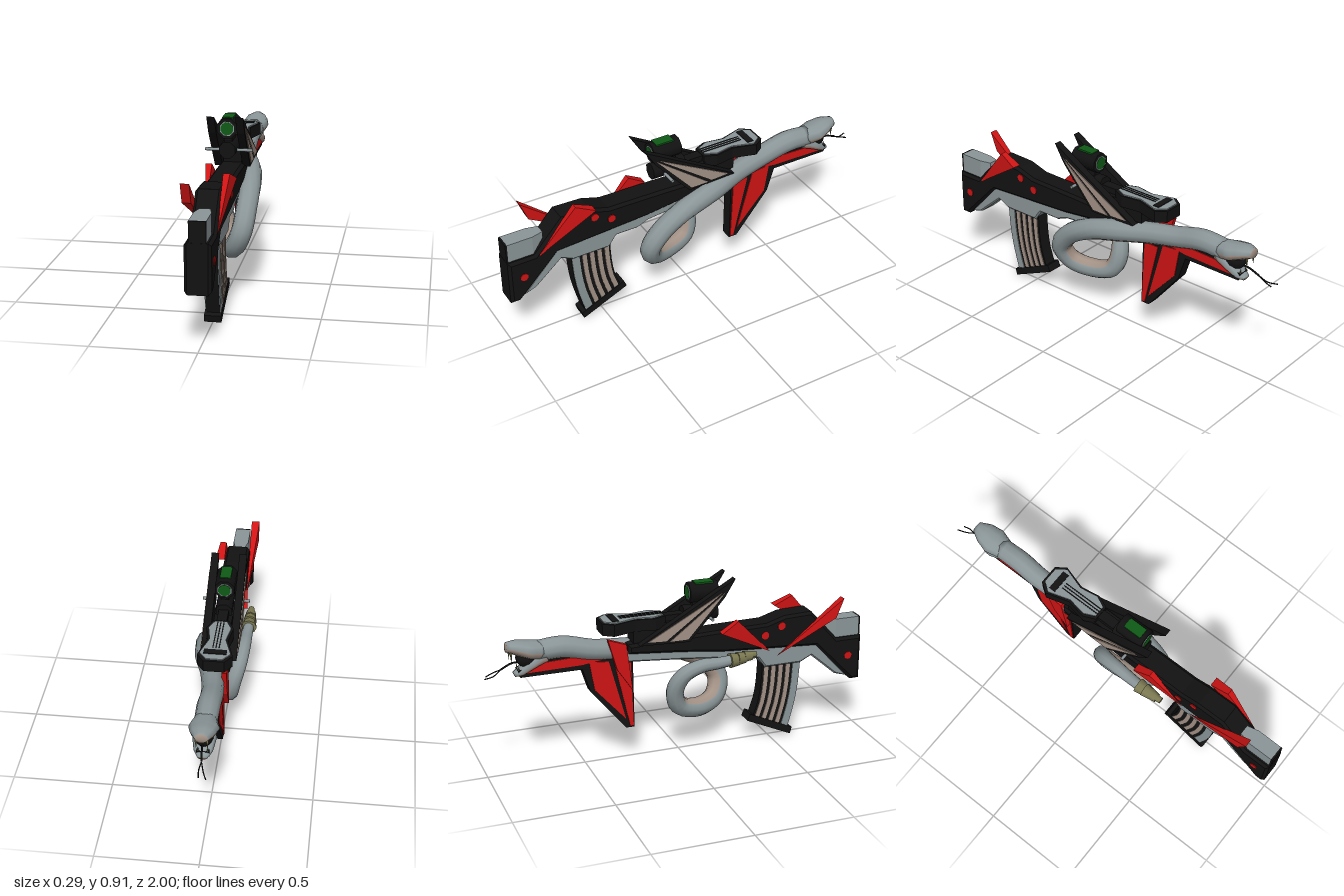
import * as THREE from 'three';
import { ConvexGeometry } from 'three/addons/geometries/ConvexGeometry.js';

const flat = (name, color) => {
  const m = new THREE.MeshStandardMaterial({ color });
  m.name = name;
  return m;
};
const V = (x, y, z) => new THREE.Vector3(x, y, z);

export function createModel() {
  const model = new THREE.Group();
  const black = flat('black', 0x121212), gray = flat('gray', 0x8b9698), red = flat('red', 0xd01414);
  const beige = flat('beige', 0xa39286), green = flat('green', 0x0f5a16), olive = flat('olive', 0x7c7a52);

  const add = (name, geo, mat) => {
    const m = new THREE.Mesh(geo, mat);
    m.name = name;
    model.add(m);
    return m;
  };
  const box = (name, w, h, d, x, y, z, mat) =>
    add(name, new THREE.BoxGeometry(w, h, d).translate(x, y, z), mat);
  const extrude = (pts, depth, bevel) =>
    new THREE.ExtrudeGeometry(new THREE.Shape(pts.map(p => new THREE.Vector2(p[0], p[1]))), {
      depth: depth - 2 * bevel, bevelEnabled: bevel > 0, bevelThickness: bevel,
      bevelSize: bevel, bevelOffset: -bevel, bevelSegments: 1,
    }).translate(0, 0, bevel);
  // side profile in (z, y), extruded from x0 to x1
  const profile = (name, pts, x0, x1, mat, bevel = 0) =>
    add(name, extrude(pts, x1 - x0, bevel).rotateY(-Math.PI / 2).translate(x1, 0, 0), mat);
  // thin plate on both flanks at half width x
  const plates = (name, pts, x, mat) => {
    profile(name, pts, x - 0.003, x + 0.004, mat);
    profile(name, pts, -x - 0.004, -x + 0.003, mat);
  };
  // plan outline in (x, -z), extruded upward from y0 to y1
  const plan = (name, pts, y0, y1, mat) =>
    add(name, extrude([...pts, ...pts.slice().reverse().map(p => [-p[0], p[1]])], y1 - y0, 0)
      .rotateX(-Math.PI / 2).translate(0, y0, 0), mat);
  const tube = (name, r, len, axis, x, y, z, mat, sides = 8) => {
    const g = new THREE.CylinderGeometry(r, r, len, sides).rotateY(Math.PI / sides);
    if (axis === 'x') g.rotateZ(Math.PI / 2);
    if (axis === 'z') g.rotateX(Math.PI / 2);
    return add(name, g.translate(x, y, z), mat);
  };

  // stock and receiver
  profile('receiver', [[1, 0.51], [1, 0.27], [0.95, 0.27], [0.74, 0.485], [0.25, 0.515], [0, 0.545],
    [-0.28, 0.57], [-0.28, 0.62], [0.17, 0.635], [0.46, 0.64], [0.56, 0.67], [0.71, 0.675], [0.86, 0.51]],
    -0.062, 0.062, black, 0.014);
  profile('lowerReceiver', [[0.93, 0.29], [0.86, 0.31], [0.72, 0.43], [0.66, 0.4], [0.46, 0.4], [0.42, 0.455],
    [0.3, 0.455], [0.24, 0.48], [0, 0.505], [-0.3, 0.53], [-0.3, 0.59], [0, 0.565], [0.25, 0.54], [0.74, 0.5]],
    -0.05, 0.05, gray, 0.008);
  plan('stockComb', [[0.04, -0.99], [0.04, -0.86], [0.025, -0.8]], 0.49, 0.61, gray);
  box('buttCap', 0.08, 0.12, 0.01, 0, 0.55, 0.994, black);
  for (const [z, y] of [[0.54, 0.62], [0.45, 0.58], [0.925, 0.41]])
    tube('redStud', 0.021, 0.132, 'x', 0, y, z, red);

  // red fins: a point at the tip and a broad outer end
  const fin = (name, tip, a, b, inner) => {
    const pts = [V(...tip), V(...a), V(...b), V(inner, a[1], a[2]), V(inner, b[1], b[2])];
    add(name, new ConvexGeometry(pts), red);
  };
  fin('leftStockFin', [0.06, 0.495, 0.85], [0.088, 0.735, 0.65], [0.104, 0.69, 0.55], 0.056);
  fin('rightStockFin', [-0.06, 0.46, 0.52], [-0.1, 0.74, 0.87], [-0.1, 0.64, 0.83], -0.058);
  fin('rightMiddleFin', [-0.06, 0.49, 0.48], [-0.09, 0.685, 0.29], [-0.1, 0.63, 0.2], -0.058);

  // curved magazine, striped along its length
  const rear = new THREE.SplineCurve([[0.665, 0.42], [0.655, 0.28], [0.635, 0.16], [0.6, 0.03]].map(p => new THREE.Vector2(...p)));
  const fore = new THREE.SplineCurve([[0.45, 0.42], [0.445, 0.31], [0.43, 0.21], [0.395, 0.11]].map(p => new THREE.Vector2(...p)));
  const strip = (f0, f1) => {
    const edge = f => [0, 1, 2, 3, 4, 5, 6].map(i => rear.getPoint(i / 6).lerp(fore.getPoint(i / 6), f).toArray());
    return [...edge(f0), ...edge(f1).reverse()];
  };
  profile('magazine', strip(0, 1), -0.033, 0.033, black);
  plates('magazineSpine', strip(0.01, 0.2), 0.033, gray);
  for (const f of [0.27, 0.46, 0.65, 0.84]) plates('magazineStripe', strip(f, f + 0.11), 0.033, beige);
  profile('magazineBase', [[0.615, 0], [0.625, 0.035], [0.385, 0.145], [0.37, 0.11]], -0.041, 0.041, black);

  // striped foregrip and under bar
  profile('foregrip', [[-0.25, 0.58], [-0.245, 0.17], [-0.29, 0.17], [-0.47, 0.39], [-0.51, 0.515],
    [-0.82, 0.515], [-0.83, 0.55], [-0.7, 0.59], [-0.4, 0.6]], -0.03, 0.03, black);
  plates('gripStripe', [[-0.262, 0.52], [-0.25, 0.18], [-0.268, 0.18], [-0.345, 0.52]], 0.03, red);
  plates('gripStripe', [[-0.375, 0.54], [-0.29, 0.22], [-0.45, 0.4], [-0.475, 0.55]], 0.03, red);
  plates('barStripe', [[-0.37, 0.56], [-0.51, 0.54], [-0.8, 0.535], [-0.8, 0.555], [-0.7, 0.58], [-0.4, 0.59]], 0.03, red);
  profile('rightGripFin', [[-0.385, 0.66], [-0.29, 0.625], [-0.26, 0.38], [-0.34, 0.5]], -0.058, -0.034, red);

  // swept wings with inset triangles
  for (const s of [-1, 1])
    profile('wing', [[0.27, 0.91], [0.215, 0.82], [0.03, 0.61], [-0.23, 0.62]],
      s * 0.07 - 0.019, s * 0.07 + 0.019, black);
  plates('wingInlay', [[0.215, 0.845], [0.02, 0.625], [-0.075, 0.625]], 0.089, beige);
  plates('wingInlay', [[0.2, 0.845], [-0.095, 0.63], [-0.19, 0.635]], 0.089, beige);

  // upper cover over the barrel
  box('coverRiser', 0.09, 0.1, 0.28, 0, 0.66, -0.11, black);
  const cover = [[0.05, 0.41], [0.085, 0.36], [0.05, 0.24], [0.066, 0.14], [0.04, 0.08]];
  plan('cover', cover, 0.685, 0.745, black);
  plan('coverPlate', cover.map(([x, z]) => [x - 0.011, 0.24 + (z - 0.24) * 0.93]), 0.744, 0.751, gray);
  box('coverSlot', 0.11, 0.008, 0.035, 0, 0.75, -0.343, black);
  for (const x of [-0.015, 0, 0.015]) box('coverGroove', 0.005, 0.008, 0.22, x, 0.75, -0.2, black);
  box('coverRail', 0.05, 0.05, 0.14, 0, 0.715, -0.03, black);

  // scope with mount, lenses and cross bolt
  tube('scopeMount', 0.043, 0.18, 'z', 0, 0.73, 0.11, black);
  box('scopeStem', 0.04, 0.06, 0.1, 0, 0.77, 0.12, black);
  tube('scopeBody', 0.052, 0.15, 'z', 0, 0.838, 0.125, black);
  for (const z of [0.05, 0.2]) {
    tube('lensRim', 0.037, 0.006, 'z', 0, 0.838, z, gray);
    tube('lens', 0.032, 0.01, 'z', 0, 0.838, z, green, 12);
  }
  box('scopeScreen', 0.054, 0.008, 0.095, 0, 0.886, 0.13, green);
  tube('crossBolt', 0.008, 0.235, 'x', 0, 0.72, 0.14, gray);

  // lofted snake skin: elliptical rings along a curve, belly side in a second material
  const skin = (name, pts, rx, ry, down, steps, bellyLimit = 0.55) => {
    const N = 10, pos = [], back = [], belly = [];
    const curve = new THREE.CatmullRomCurve3(pts.map(p => V(...p)));
    const at = (r, k) => {
      const i = Math.min(Math.floor(k), r.length - 2);
      return THREE.MathUtils.lerp(r[i], r[i + 1], k - i);
    };
    for (let i = 0; i <= steps; i++) {
      const t = i / steps, k = t * (pts.length - 1);
      const p = curve.getPoint(t), T = curve.getTangent(t), D = down(p, k);
      D.addScaledVector(T, -D.dot(T)).normalize();
      const S = D.clone().cross(T);
      for (let j = 0; j < N; j++) {
        const a = j / N * Math.PI * 2;
        pos.push(...p.clone().addScaledVector(S, Math.cos(a) * at(rx, k))
          .addScaledVector(D, Math.sin(a) * at(ry, k)).toArray());
      }
    }
    for (let i = 0; i < steps; i++) for (let j = 0; j < N; j++) {
      const a = i * N + j, b = i * N + (j + 1) % N;
      const list = Math.sin((j + 0.5) / N * Math.PI * 2) > bellyLimit ? belly : back;
      list.push(a, b, b + N, a, b + N, a + N);
    }
    for (let j = 1; j < N - 1; j++) {
      back.push(0, j + 1, j);
      belly.push(steps * N, steps * N + j, steps * N + j + 1);
    }
    const g = new THREE.BufferGeometry();
    g.setAttribute('position', new THREE.Float32BufferAttribute(pos, 3));
    g.setIndex([...back, ...belly]);
    g.addGroup(0, back.length, 0);
    g.addGroup(back.length, belly.length, 1);
    g.computeVertexNormals();
    add(name, g, [gray, beige]);
  };
  const straightDown = () => V(0, -1, 0);
  const body = [[0, 0.63, -0.72], [0, 0.635, -0.6], [0, 0.6, -0.45], [0.025, 0.575, -0.28], [0.07, 0.55, -0.12],
    [0.09, 0.51, 0.04], [0.092, 0.44, 0.17], [0.08, 0.34, 0.245], [0.04, 0.25, 0.215], [-0.005, 0.217, 0.11],
    [-0.03, 0.25, -0.005], [-0.05, 0.34, -0.035], [-0.08, 0.43, 0], [-0.095, 0.475, 0.09], [-0.1, 0.48, 0.18], [-0.105, 0.49, 0.26]];
  const girth = [0.054, 0.056, 0.054, 0.055, 0.056, 0.055, 0.053, 0.053, 0.052, 0.051, 0.048, 0.046, 0.04, 0.035, 0.03, 0.026];
  skin('snakeBody', body, girth, girth, (p, k) =>
    V(0, -1, 0).lerp(V(0, 0.34, 0.11).sub(p).normalize(), THREE.MathUtils.smoothstep(k, 4, 6)), 60);

  // snake head with open mouth
  skin('upperJaw', [[0, 0.63, -0.69], [0, 0.645, -0.77], [0, 0.663, -0.83], [0, 0.67, -0.88]],
    [0.05, 0.072, 0.058, 0.03], [0.05, 0.045, 0.036, 0.024], straightDown, 9, 0.2);
  skin('lowerJaw', [[0, 0.61, -0.69], [0, 0.575, -0.76], [0, 0.54, -0.81], [0, 0.525, -0.845]],
    [0.048, 0.056, 0.044, 0.022], [0.04, 0.03, 0.02, 0.012], straightDown, 9, -0.2);
  add('mouth', new THREE.SphereGeometry(1, 10, 8).scale(0.046, 0.05, 0.06).translate(0, 0.605, -0.775), black);
  for (const s of [-1, 1]) {
    add('upperFang', new THREE.ConeGeometry(0.007, 0.055, 6).rotateX(Math.PI).translate(s * 0.026, 0.62, -0.86), olive);
    add('lowerFang', new THREE.ConeGeometry(0.005, 0.035, 6).translate(s * 0.022, 0.56, -0.825), olive);
  }

  // forked tongue
  const strand = (name, pts, r) =>
    add(name, new THREE.TubeGeometry(new THREE.CatmullRomCurve3(pts.map(p => V(...p))), 8, r, 5), black);
  strand('tongue', [[0, 0.58, -0.78], [0, 0.585, -0.85], [-0.005, 0.56, -0.91]], 0.005);
  strand('tongueFork', [[-0.005, 0.56, -0.91], [-0.018, 0.535, -0.95], [-0.035, 0.533, -0.998]], 0.003);
  strand('tongueFork', [[-0.005, 0.56, -0.91], [0.003, 0.545, -0.95], [0, 0.53, -0.985]], 0.003);

  // tail rattle
  [[0.04, 0.26], [0.036, 0.3], [0.03, 0.335], [0.02, 0.36]].forEach(([r, z], i) => {
    const g = new THREE.CylinderGeometry(r * 0.8, r, 0.042, 8).rotateX(Math.PI / 2);
    add('rattleSegment', g.translate(-0.106, 0.488 + i * 0.006, z), olive);
  });
  return model;
}
